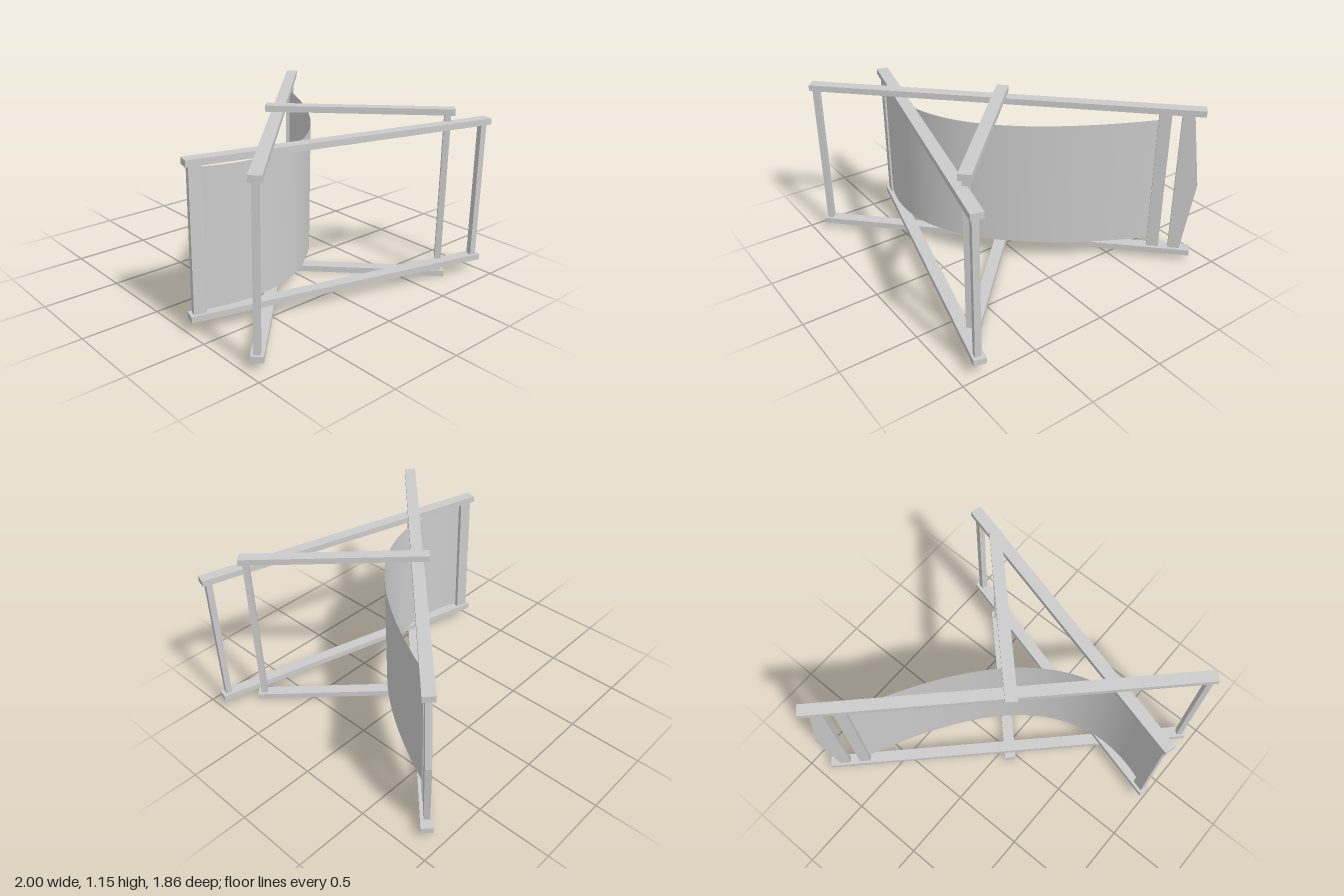
import * as THREE from 'three';

const material = new THREE.MeshStandardMaterial({ color: 0xcccccc });
const MID = 0.575; // mirror height between the two side frames
const T = 0.04; // timber thickness

export function createModel() {
  const chair = new THREE.Group();
  chair.name = 'foldedDeckChair';

  const add = (parent, name, geometry, x, y, z, angle) => {
    const mesh = new THREE.Mesh(geometry, material);
    mesh.name = name;
    mesh.position.set(x, y, z);
    mesh.rotation.y = angle;
    parent.add(mesh);
    return mesh;
  };

  // Each frame: a pair of rails from (x0, z0) to (x1, z1), offset from the middle,
  // with crossbars [name, x, z, width] spanning between them
  const frame = (name, [x0, z0], [x1, z1], offset, bars) => {
    const group = new THREE.Group();
    group.name = name;
    const angle = Math.atan2(z0 - z1, x1 - x0);
    const length = Math.hypot(x1 - x0, z1 - z0);
    for (const side of [-1, 1]) {
      add(group, 'rail', new THREE.BoxGeometry(length, T, 0.077),
        (x0 + x1) / 2, MID + side * offset, (z0 + z1) / 2, angle);
    }
    for (const [barName, x, z, width] of bars) {
      add(group, barName, new THREE.BoxGeometry(width, 2 * offset - T, T), x, MID, z, angle);
    }
    chair.add(group);
    return group;
  };

  const back = frame('backFrame', [-0.935, 0.9], [0.872, -0.903], 0.512, [
    ['footBar', -0.91, 0.875, T],
    ['topSlat', 0.697, -0.732, 0.078],
  ]);
  frame('seatFrame', [-0.988, 0.345], [0.988, 0.877], 0.472, [
    ['seatSlat', -0.93, 0.361, 0.078],
    ['rearBar', 0.945, 0.868, T],
  ]);
  frame('propFrame', [-0.09, -0.05], [0.75, 0.795], 0.554, [
    ['propBar', 0.72, 0.765, T],
  ]);

  // Pointed head board at the top of the back frame
  const h = 0.492;
  const outline = new THREE.Shape([
    new THREE.Vector2(0, -h), new THREE.Vector2(0.075, -h), new THREE.Vector2(0.142, 0),
    new THREE.Vector2(0.075, h), new THREE.Vector2(0, h),
  ]);
  const board = new THREE.ExtrudeGeometry(outline, { depth: T, bevelEnabled: false });
  board.translate(0, 0, -T / 2);
  add(back, 'headBoard', board, 0.77, MID, -0.805, Math.PI / 4);

  // Sagging cloth slung from the seat slat to the top slat, slightly narrower mid-way
  const sag = new THREE.QuadraticBezierCurve(
    new THREE.Vector2(-0.94, 0.36), new THREE.Vector2(0, 0.76), new THREE.Vector2(0.672, -0.7));
  const cloth = new THREE.PlaneGeometry(1, 1, 40, 1);
  const pos = cloth.attributes.position;
  for (let i = 0; i < pos.count; i++) {
    const t = pos.getX(i) + 0.5;
    const p = sag.getPoint(t);
    const height = 0.875 - 0.025 * Math.sin(Math.PI * t);
    pos.setXYZ(i, p.x, MID + pos.getY(i) * height, p.y);
  }
  cloth.computeVertexNormals();
  const seat = add(chair, 'clothSeat', cloth, 0, 0, 0, 0);
  seat.material = new THREE.MeshStandardMaterial({ color: 0xcccccc, side: THREE.DoubleSide });

  return chair;
}
